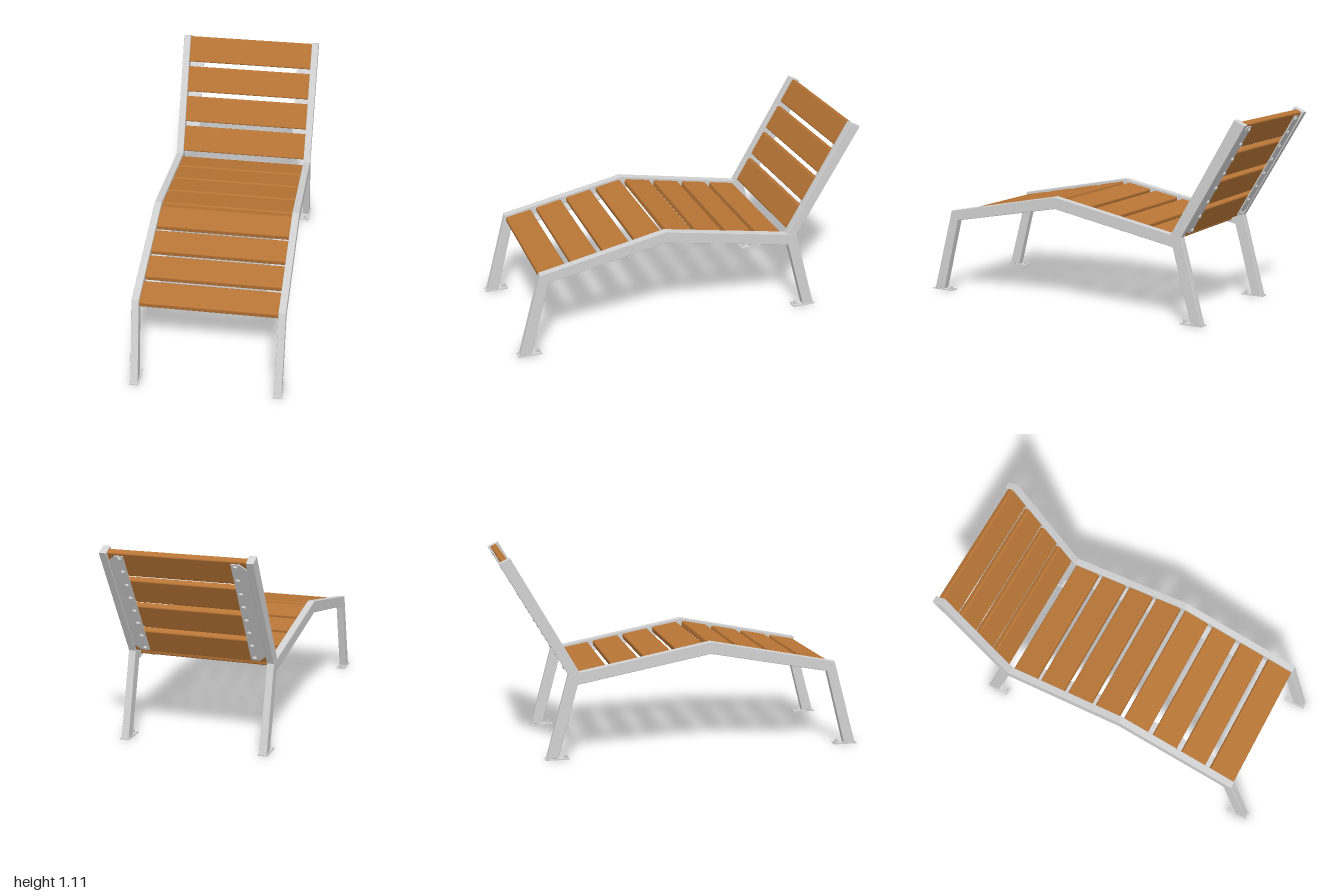
import * as THREE from 'three';

const steel = new THREE.MeshStandardMaterial({ color: 0xd2d2d2 });
steel.name = 'galvanised steel';
const wood = new THREE.MeshStandardMaterial({ color: 0xb87536 });
wood.name = 'stained wood';

const RAIL_X = 0.392, RAIL_W = 0.04, SLAT_W = 0.744, SLAT_L = 0.155, SLAT_T = 0.036, RECESS = 0.015;

function mesh(name, geometry, material, parent, x = 0, y = 0, z = 0) {
  const m = new THREE.Mesh(geometry, material);
  m.name = name;
  m.position.set(x, y, z);
  parent.add(m);
  return m;
}

// Extrudes a (z, y) profile across x, centred on x = 0
function acrossX(shape, width, bevel = 0) {
  const g = new THREE.ExtrudeGeometry(shape, {
    depth: width - 2 * bevel, bevelEnabled: bevel > 0, bevelSize: bevel,
    bevelThickness: bevel, bevelOffset: -bevel, bevelSegments: 2, curveSegments: 5,
  });
  g.translate(0, 0, -(width - 2 * bevel) / 2);
  return g.rotateY(-Math.PI / 2);
}

const polygon = (pts) => new THREE.Shape(pts.map(([a, b]) => new THREE.Vector2(a, b)));

// Rounded plank section
function slatGeometry() {
  const a = SLAT_L / 2, b = SLAT_T / 2, r = 0.009, s = new THREE.Shape();
  s.absarc(a - r, b - r, r, 0, Math.PI / 2);
  s.absarc(-a + r, b - r, r, Math.PI / 2, Math.PI);
  s.absarc(-a + r, -b + r, r, Math.PI, 1.5 * Math.PI);
  s.absarc(a - r, -b + r, r, 1.5 * Math.PI, 2 * Math.PI);
  return acrossX(s, SLAT_W);
}

// Flat bar under the slats, with its rail-side corners cut off
function strapGeometry(length, side) {
  const h = length / 2, cut = 0.035;
  const shape = polygon([
    [0.288 * side, -h], [0.335 * side, -h], [0.371 * side, -h + cut],
    [0.371 * side, h - cut], [0.335 * side, h], [0.288 * side, h],
  ]);
  const g = new THREE.ExtrudeGeometry(shape, { depth: 0.006, bevelEnabled: false });
  return g.rotateX(Math.PI / 2);
}

// Four slats on two straps; local -z runs along the section, +y is the outer face
function slatSection(name, y, z, angle, start, pitch) {
  const group = new THREE.Group();
  group.name = name;
  group.position.set(0, y, z);
  group.rotation.x = angle;
  const slat = slatGeometry();
  const bolt = new THREE.CylinderGeometry(0.013, 0.008, 0.009, 12);
  const under = -RECESS - SLAT_T;
  for (let i = 0; i < 4; i++) {
    const mid = -(start + SLAT_L / 2 + i * pitch);
    mesh('slat', slat, wood, group, 0, -RECESS - SLAT_T / 2, mid);
    for (const side of [-1, 1])
      for (const off of [-0.045, 0.045])
        mesh('slatBolt', bolt, steel, group, 0.31 * side, under - 0.0105, mid + off);
  }
  const total = 3 * pitch + SLAT_L;
  for (const side of [-1, 1])
    mesh('slatStrap', strapGeometry(total - 0.03, side), steel, group, 0, under, -(start + total / 2));
  return group;
}

// Side frame: bent seat rail with legs, and the backrest rail
function sideFrame(side) {
  const group = new THREE.Group();
  group.name = side > 0 ? 'leftFrame' : 'rightFrame';
  group.position.x = RAIL_X * side;
  const seat = polygon([
    [0.99, 0.006], [0.86, 0.48], [0.147, 0.62], [-0.58, 0.481], [-0.642, 0.47], [-0.767, 0.006],
    [-0.703, 0.006], [-0.592, 0.412], [0.147, 0.552], [0.816, 0.426], [0.925, 0.006],
  ]);
  mesh('legsAndSeatRail', acrossX(seat, RAIL_W, 0.003), steel, group);
  const back = polygon([[-0.58, 0.478], [-0.94, 1.108], [-1.0, 1.08], [-0.642, 0.468]]);
  mesh('backRail', acrossX(back, RAIL_W, 0.003), steel, group);

  // Foot plates with anchor bolts
  const plate = new THREE.BoxGeometry(0.052, 0.007, 0.132);
  const nut = new THREE.CylinderGeometry(0.013, 0.013, 0.009, 6);
  const stud = new THREE.CylinderGeometry(0.007, 0.007, 0.018, 12);
  for (const [plateZ, boltZ] of [[0.934, 0.887], [-0.708, -0.661]]) {
    mesh('footPlate', plate, steel, group, 0, 0.0035, plateZ);
    mesh('anchorNut', nut, steel, group, 0, 0.0115, boltZ);
    mesh('anchorStud', stud, steel, group, 0, 0.016, boltZ);
  }
  return group;
}

export function createModel() {
  const model = new THREE.Group();
  model.name = 'sunLounger';
  model.add(
    sideFrame(1), sideFrame(-1),
    slatSection('frontSeatSlats', 0.48, 0.86, Math.atan2(0.14, 0.713), 0, 0.1865),
    slatSection('rearSeatSlats', 0.62, 0.147, -Math.atan2(0.139, 0.727), 0.03, 0.184),
    slatSection('backrestSlats', 0.481, -0.58, Math.PI / 3, 0.016, 0.1835),
  );
  return model;
}
